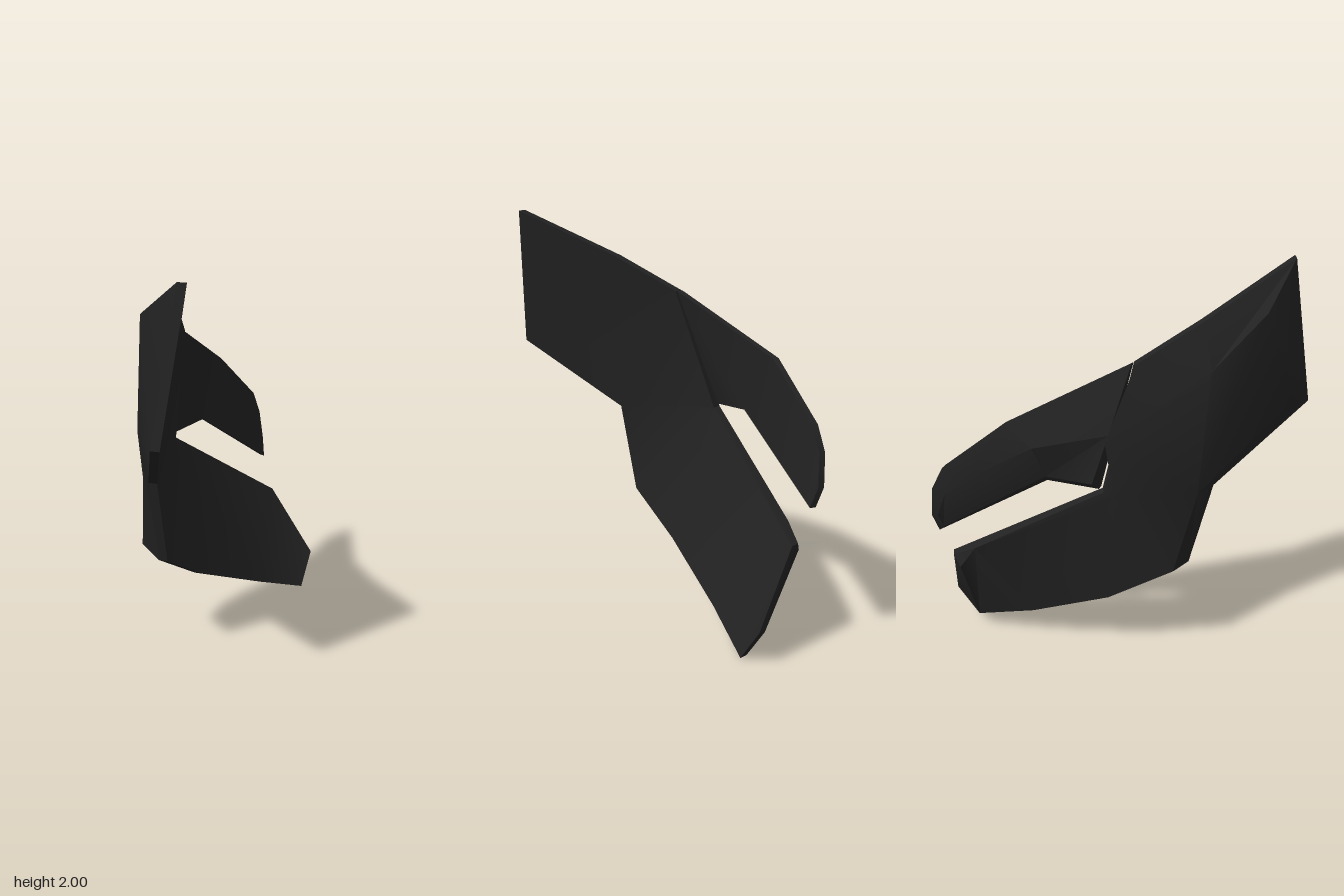
import * as THREE from 'three';
import { toCreasedNormals } from 'three/addons/utils/BufferGeometryUtils.js';

// Faceted plate: front outline (clockwise seen from the front), thin rim, inset back outline.
function plate(name, front, back, faces, rimOffset, material) {
  const rim = front.map((p) => p.map((v, i) => v + rimOffset[i]));
  const pos = [];
  const tri = (a, b, c) => pos.push(...a, ...b, ...c);
  for (const [a, b, c] of faces) {
    tri(front[a], front[c], front[b]);
    tri(back[a], back[b], back[c]);
  }
  // rim and bevel strips
  for (const [near, far] of [[front, rim], [rim, back]]) {
    near.forEach((p, i) => {
      const j = (i + 1) % near.length;
      tri(p, near[j], far[j]);
      tri(p, far[j], far[i]);
    });
  }
  const geometry = new THREE.BufferGeometry();
  geometry.setAttribute('position', new THREE.Float32BufferAttribute(pos, 3));
  const mesh = new THREE.Mesh(toCreasedNormals(geometry, 0.6), material);
  mesh.name = name;
  return mesh;
}

export function createModel() {
  const group = new THREE.Group();
  group.name = 'forkedPlate';
  const black = new THREE.MeshStandardMaterial({ color: 0x222222, side: THREE.DoubleSide });
  black.name = 'matteBlack';

  // Bent main panel running from the upper corner to the lower prong
  group.add(plate('mainPanel',
    [
      [-0.72, 2, 0.53], [-0.39, 1.78, 0.11], [-0.14, 1.62, -0.13], [-0.05, 1.02, -0.31],
      [0.75, 0.53, -0.38], [0.86, 0.17, -0.17], [0.74, 0, -0.13], [0.4, 0.13, -0.13],
      [-0.07, 0.33, -0.09], [-0.39, 0.52, 0], [-0.49, 0.96, 0.05], [-0.84, 1.29, 0.48],
    ],
    [
      [-0.69, 1.82, 0.19], [-0.49, 1.58, -0.03], [-0.08, 1.29, -0.36], [-0.12, 1.0, -0.34],
      [0.6, 0.6, -0.43], [0.68, 0.48, -0.45], [0.68, 0.08, -0.28], [0.36, 0.18, -0.28],
      [-0.06, 0.36, -0.27], [-0.38, 0.55, -0.2], [-0.46, 0.95, -0.09], [-0.81, 1.34, 0.3],
    ],
    [
      [0, 1, 10], [0, 10, 11], [1, 2, 10], [2, 3, 10], [3, 9, 10],
      [3, 8, 9], [3, 7, 8], [3, 4, 7], [4, 6, 7], [4, 5, 6],
    ],
    [-0.02, 0, -0.04], black));

  // Hooked upper prong set slightly behind the panel
  group.add(plate('upperProng',
    [
      [-0.14, 1.62, -0.14], [0.39, 1.35, -0.43], [0.7, 1.09, -0.49], [0.76, 0.97, -0.5],
      [0.78, 0.81, -0.49], [0.76, 0.71, -0.46], [0.2, 1.06, -0.37], [-0.05, 1.04, -0.33],
    ],
    [
      [-0.09, 1.32, -0.34], [0.24, 1.26, -0.48], [0.55, 1.07, -0.525], [0.69, 0.95, -0.537],
      [0.74, 0.82, -0.53], [0.73, 0.74, -0.5], [0.2, 1.09, -0.42], [-0.03, 1.08, -0.4],
    ],
    [[0, 1, 6], [0, 6, 7], [1, 2, 6], [2, 5, 6], [2, 3, 5], [3, 4, 5]],
    [0, 0, -0.03], black));

  return group;
}
